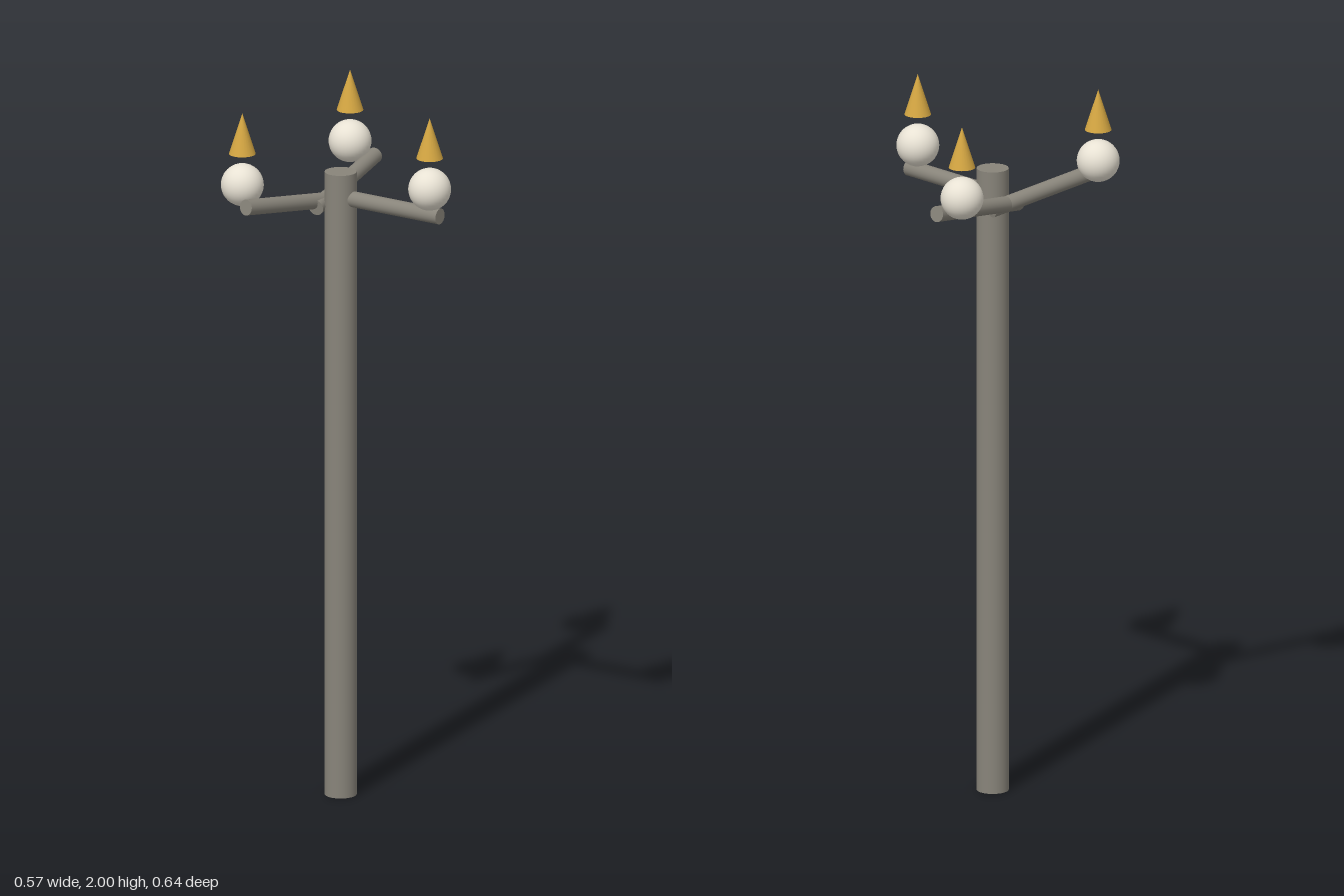
import * as THREE from 'three';

const POLE_X = -0.075, POLE_H = 1.795, REACH = 0.3;

export function createModel() {
  const group = new THREE.Group();
  const stone = new THREE.MeshStandardMaterial({ color: 0x88847a });
  const glass = new THREE.MeshStandardMaterial({ color: 0xe8e2d4 });
  const gold = new THREE.MeshStandardMaterial({ color: 0xd4a642 });

  const add = (name, geometry, material, x, y, z) => {
    const mesh = new THREE.Mesh(geometry, material);
    mesh.name = name;
    mesh.position.set(x, y, z);
    group.add(mesh);
    return mesh;
  };

  // Post
  add('post', new THREE.CylinderGeometry(0.0445, 0.0445, POLE_H, 32), stone, POLE_X, POLE_H / 2, 0);

  const armGeometry = new THREE.CylinderGeometry(0.0223, 0.0223, 0.37, 24);
  const globeGeometry = new THREE.SphereGeometry(0.0595, 32, 20);
  const finialGeometry = new THREE.ConeGeometry(0.037, 0.116, 24);
  const up = new THREE.Vector3(0, 1, 0);

  // Three lamps spaced evenly round the post; the two rear arms tilt upward
  const armDirections = [
    new THREE.Vector3(1, 0, 0),
    new THREE.Vector3(-0.15, 0.15, 1),
    new THREE.Vector3(-0.15, 0.15, -1),
  ];
  armDirections.forEach((direction, i) => {
    const angle = (i * Math.PI * 2) / 3;
    const dx = Math.cos(angle) * REACH, dz = Math.sin(angle) * REACH;
    const arm = add('arm', armGeometry, stone, POLE_X + dx / 2, 1.722, dz / 2);
    arm.quaternion.setFromUnitVectors(up, direction.normalize());
    add('globe', globeGeometry, glass, POLE_X + dx, POLE_H, dz);
    add('finial', finialGeometry, gold, POLE_X + dx, 1.942, dz);
  });

  return group;
}
